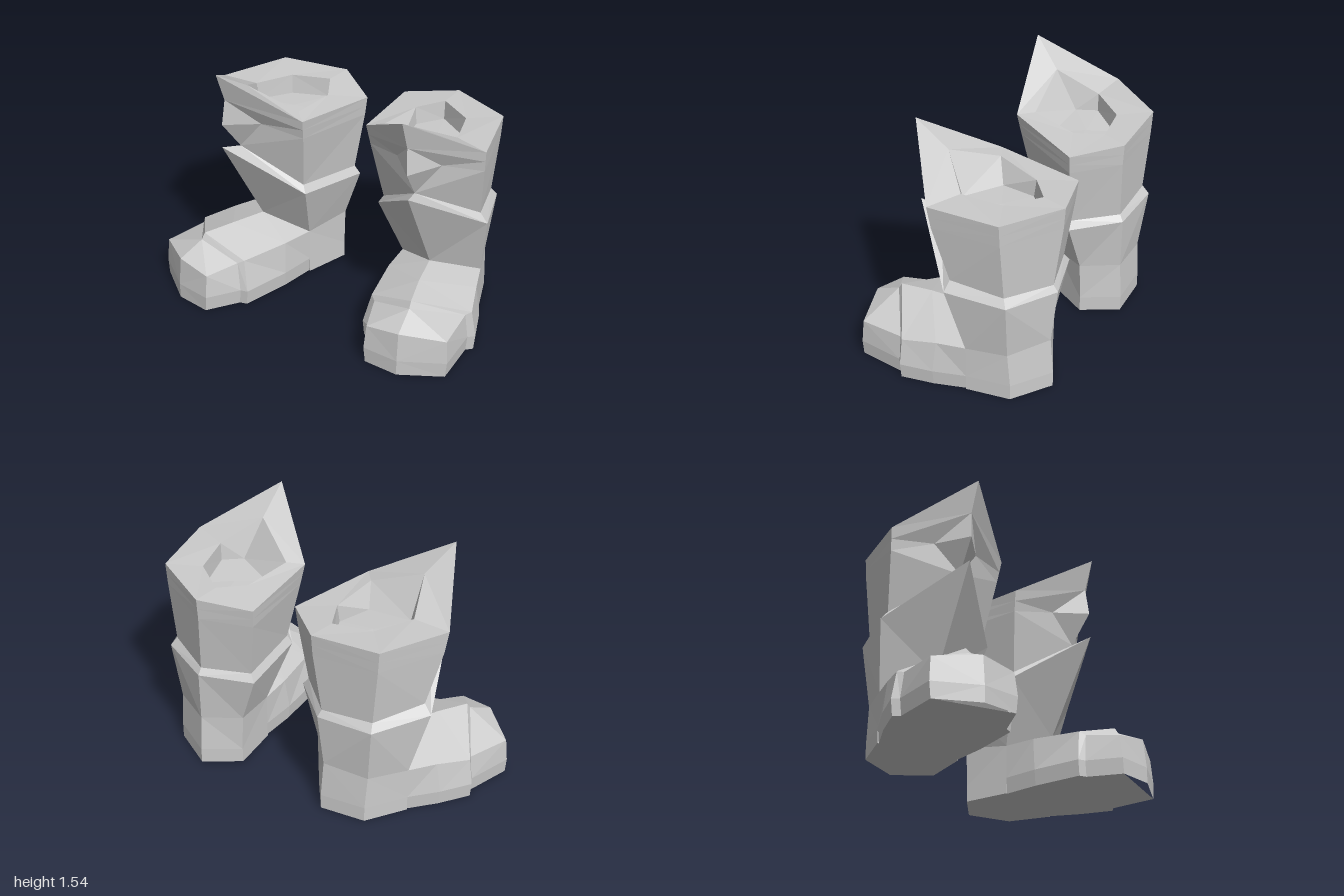
import * as THREE from 'three';

const material = new THREE.MeshStandardMaterial({ color: 0xcccccc, flatShading: true });
// heel-back point of the right boot, used as the pivot of each boot
const PIVOT = new THREE.Vector3(-0.53, 0, -0.45);

const V = ([x, y, z]) => new THREE.Vector3(x, y, z);

// Collects triangles; side = -1 mirrors the part for the other foot
function part(name, side, build) {
  const out = [];
  const tri = (a, b, c) => {
    const area = b.clone().sub(a).cross(c.clone().sub(a)).length();
    if (area < 1e-6) return;
    for (const p of side > 0 ? [a, b, c] : [a, c, b]) {
      out.push((p.x - PIVOT.x) * side, p.y, p.z - PIVOT.z);
    }
  };
  // Skins neighbouring cross-sections, folding each quad on its shorter diagonal
  const loft = (sections, closed = true) => {
    const rings = sections.map((r) => r.map(V));
    for (let k = 0; k < rings.length - 1; k++) {
      const lo = rings[k], hi = rings[k + 1], n = lo.length;
      for (let i = 0; i < (closed ? n : n - 1); i++) {
        const j = (i + 1) % n;
        const a = lo[i], b = lo[j], c = hi[j], d = hi[i];
        if (a.distanceTo(c) <= b.distanceTo(d)) { tri(a, b, c); tri(a, c, d); }
        else { tri(a, b, d); tri(b, c, d); }
      }
    }
  };
  const cap = (section, up) => {
    const r = section.map(V);
    const mid = r.reduce((s, p) => s.add(p), new THREE.Vector3()).divideScalar(r.length);
    r.forEach((p, i) => {
      const q = r[(i + 1) % r.length];
      if (up) tri(mid, p, q); else tri(mid, q, p);
    });
  };
  build(loft, cap);
  const geometry = new THREE.BufferGeometry();
  geometry.setAttribute('position', new THREE.Float32BufferAttribute(out, 3));
  geometry.computeVertexNormals();
  const mesh = new THREE.Mesh(geometry, material);
  mesh.name = name;
  return mesh;
}

// Leg rings: front, inner front, inner rear, back, outer rear, outer front
const heelRing = (y) => [
  [-0.61, y, 0], [-0.36, y, 0], [-0.36, y, -0.29],
  [-0.58, y, -0.42], [-0.82, y, -0.27], [-0.88, y, 0],
];
const ankle = [
  [-0.61, 0.41, 0.18], [-0.36, 0.31, 0], [-0.35, 0.35, -0.29],
  [-0.58, 0.34, -0.4], [-0.82, 0.32, -0.25], [-0.88, 0.31, 0],
];
const cuff = [
  [-0.58, 1.02, 0.49], [-0.24, 0.7, 0.12], [-0.24, 0.68, -0.32],
  [-0.56, 0.69, -0.43], [-0.87, 0.7, -0.27], [-0.94, 0.72, 0.1],
];
const shaftBase = [
  [-0.57, 0.99, 0.36], [-0.27, 0.75, 0.11], [-0.27, 0.73, -0.3],
  [-0.56, 0.73, -0.4], [-0.84, 0.75, -0.24], [-0.89, 0.78, 0.09],
];
const bulge = [
  [-0.57, 1.18, 0.49], [-0.2, 1.13, 0.16], [-0.22, 1.11, -0.34],
  [-0.53, 1.12, -0.44], [-0.88, 1.13, -0.24], [-0.93, 1.13, 0.18],
];
const rim = [
  [-0.55, 1.54, 0.53], [-0.18, 1.26, 0.18], [-0.21, 1.23, -0.35],
  [-0.53, 1.26, -0.45], [-0.89, 1.27, -0.24], [-0.94, 1.27, 0.2],
];
const opening = [
  [-0.55, 1.4, 0.31], [-0.28, 1.27, 0.13], [-0.36, 1.25, -0.16],
  [-0.5, 1.26, -0.29], [-0.69, 1.26, -0.14], [-0.73, 1.27, 0.11],
];
const lining = [
  [-0.61, 1.16, 0.18], [-0.365, 1.14, 0.06], [-0.37, 1.14, -0.15],
  [-0.5, 1.14, -0.28], [-0.68, 1.14, -0.13], [-0.72, 1.16, 0.1],
];

// Adds a point on either side of the front one, for the pointed front bulge
const withSides = (ring, inner = ring[0], outer = ring[0]) =>
  [ring[0], inner, ...ring.slice(1), outer];
const blend = (a, b, t) => a.map((p, i) => p.map((v, k) => v + (b[i][k] - v) * t));

// Foot arch from side points at y 0.1, upper corners and the top ridge
function arch(inMid, inTop, ridge, outTop, outMid) {
  const inGround = [inMid[0] - 0.01, 0, inMid[2]];
  const outGround = [outMid[0] + 0.01, 0, outMid[2]];
  return [inGround, inMid, inTop, ridge, outTop, outMid, outGround];
}
const footArches = [
  arch([-0.36, 0.1, 0], [-0.36, 0.31, 0], [-0.61, 0.41, 0.18], [-0.88, 0.31, 0], [-0.88, 0.1, 0]),
  arch([-0.33, 0.1, 0.22], [-0.35, 0.31, 0.2], [-0.63, 0.41, 0.4], [-0.92, 0.3, 0.18], [-0.95, 0.1, 0.19]),
  arch([-0.32, 0.1, 0.53], [-0.37, 0.3, 0.51], [-0.66, 0.4, 0.6], [-0.97, 0.27, 0.39], [-1, 0.1, 0.39]),
  arch([-0.36, 0.1, 0.555], [-0.4, 0.28, 0.54], [-0.66, 0.36, 0.625], [-0.94, 0.26, 0.42], [-0.96, 0.1, 0.42]),
];
const toeArch = arch([-0.43, 0.1, 0.77], [-0.44, 0.25, 0.75], [-0.66, 0.285, 0.79], [-0.93, 0.25, 0.7], [-0.94, 0.1, 0.71]);

function makeBoot(name, side) {
  const boot = new THREE.Group();
  boot.name = name;
  boot.add(
    part('heel', side, (loft, cap) => {
      loft([heelRing(0), heelRing(0.1), ankle]);
      cap(heelRing(0), false);
    }),
    part('foot', side, (loft) => loft(footArches)),
    part('toeCap', side, (loft) => {
      loft([footArches[3], toeArch]);
      const [ig, im, it, c, ot, om, og] = toeArch;
      loft([[og, [-0.66, 0, 0.81], ig], [om, [-0.66, 0.1, 0.81], im], [ot, c, it]], false);
    }),
    part('lowerShaft', side, (loft) => loft([ankle, cuff, shaftBase])),
    part('upperShaft', side, (loft) => {
      const upper = blend(bulge, rim, 0.5);
      upper[0] = [-0.56, 1.35, 0.47];
      loft([
        withSides(shaftBase),
        withSides(bulge, [-0.43, 1.18, 0.3], [-0.71, 1.18, 0.3]),
        withSides(upper),
        withSides(rim),
      ]);
    }),
    part('rimAndLining', side, (loft, cap) => {
      loft([rim, opening, lining]);
      cap(lining, true);
    }),
  );
  return boot;
}

export function createModel() {
  const model = new THREE.Group();
  model.name = 'pairOfBoots';

  const right = makeBoot('rightBoot', 1);
  right.position.copy(PIVOT);

  // Mirrored boot, standing further back and turned outwards
  const left = makeBoot('leftBoot', -1);
  left.position.set(0.12, 0, -0.81);
  left.rotation.y = 0.46;

  model.add(right, left);
  return model;
}
